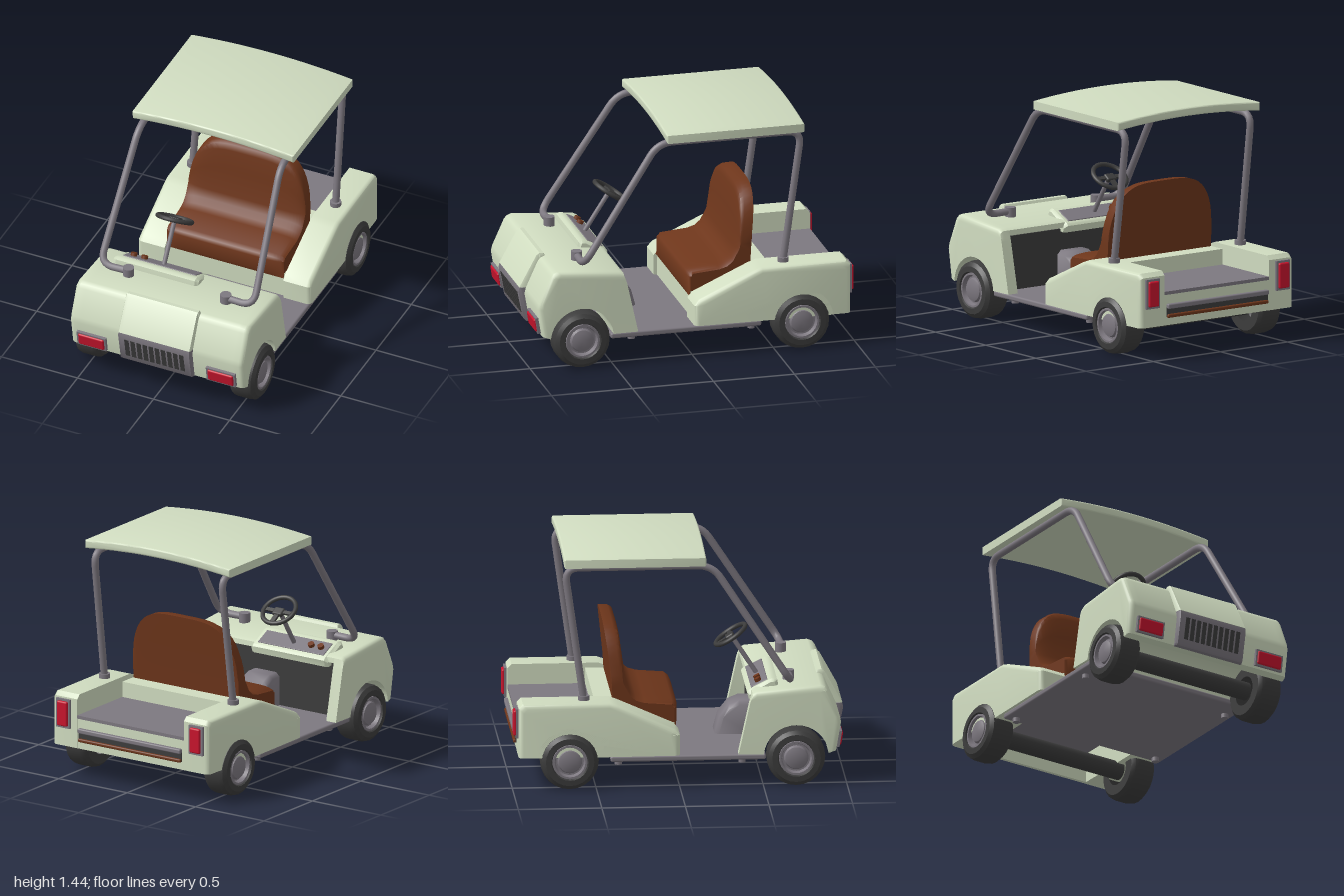
import * as THREE from 'three';
import { toCreasedNormals } from 'three/addons/utils/BufferGeometryUtils.js';
import { RoundedBoxGeometry } from 'three/addons/geometries/RoundedBoxGeometry.js';

const mat = (color) => new THREE.MeshStandardMaterial({ color, side: THREE.DoubleSide });
const GREEN = mat(0xd0dcc0), GREY = mat(0x7d7880), DARK = mat(0x3c3c3c);
const BROWN = mat(0x6e361b), RED = mat(0xc8142d);
const V = (x, y, z) => new THREE.Vector3(x, y, z);

function add(parent, name, geometry, material, x = 0, y = 0, z = 0, rx = 0) {
  const m = new THREE.Mesh(geometry, material);
  m.name = name;
  m.position.set(x, y, z);
  m.rotation.x = rx;
  parent.add(m);
  return m;
}
const box = (w, h, d) => new THREE.BoxGeometry(w, h, d);
const rbox = (w, h, d, r) => new RoundedBoxGeometry(w, h, d, 2, r);
const cyl = (r, h, n = 20) => new THREE.CylinderGeometry(r, r, h, n);

// Skin across x: profile(x) gives [z, y] points, the same number at every x
function loft(profile, xs, crease = 0.6) {
  const rows = xs.map((x) => profile(x).map(([z, y]) => new THREE.Vector2(z, y)));
  if (THREE.ShapeUtils.area(rows[0]) < 0) rows.forEach((r) => r.reverse());
  const n = rows[0].length, pos = [], idx = [];
  rows.forEach((r, k) => r.forEach((p) => pos.push(xs[k], p.y, p.x)));
  for (let k = 0; k < xs.length - 1; k++) {
    for (let i = 0; i < n; i++) {
      const a = k * n + i, b = k * n + (i + 1) % n;
      idx.push(a, a + n, b, b, a + n, b + n);
    }
  }
  const last = (xs.length - 1) * n;
  THREE.ShapeUtils.triangulateShape(rows[0], []).forEach(([a, b, c]) => idx.push(a, b, c));
  THREE.ShapeUtils.triangulateShape(rows[xs.length - 1], []).forEach(([a, b, c]) => idx.push(last + a, last + c, last + b));
  const g = new THREE.BufferGeometry();
  g.setAttribute('position', new THREE.Float32BufferAttribute(pos, 3));
  g.setIndex(idx);
  return toCreasedNormals(g, crease);
}

// Wheel arch points around an axle at z = c
function arch(c, from, to) {
  return Array.from({ length: 17 }, (_, i) => {
    const a = THREE.MathUtils.lerp(from, to, i / 16);
    return [c + 0.195 * Math.cos(a), 0.18 + 0.195 * Math.sin(a)];
  });
}
// Rounding of the outer edges near the body sides
function inset(x) {
  const t = Math.max(0, (Math.abs(x) - 0.54) / 0.03);
  return 0.03 * (1 - Math.sqrt(Math.max(0, 1 - t * t)));
}
const EDGE = [0.54, 0.551, 0.561, 0.567, 0.57];
const mirrored = (xs) => [...xs.map((x) => -x).reverse(), ...xs];

function frontProfile(x) {
  const d = inset(x), recess = Math.abs(x) < 0.5;
  return [
    [0.935 - d, 0.21], [0.965 - d, 0.385], [0.957 - d, 0.42], [0.885 - d, 0.58], [0.868 - d, 0.603 - d],
    [0.84 - d, 0.613 - d], [0.46, 0.583 - d], [0.435, 0.57 - d],
    recess ? [0.43, 0.54] : [0.424, 0.53], recess ? [0.47, 0.53] : [0.418, 0.51], [recess ? 0.47 : 0.35, 0.2],
    ...arch(0.695, Math.PI * 0.97, Math.PI * 0.03),
  ];
}
function rearProfile(x) {
  const d = inset(x);
  return [
    [-d, 0.2], [-d, 0.325], [-0.03 - d, 0.36 - d], [-0.37, 0.512 - d], [-0.42, 0.53 - d],
    [-0.94 + d, 0.53 - d], [-0.965 + d, 0.505 - d], [-0.965 + d, 0.2],
    ...arch(-0.66, Math.PI * 0.97, Math.PI * 0.03).reverse(),
  ];
}
// Bench seat, its back rounded off towards the sides
function seatProfile(x) {
  const s = Math.abs(x) / 0.385;
  const f = Math.max(0.08, Math.sqrt(Math.max(0, 1 - s ** 4))), drop = 0.02 * s ** 10;
  return [
    [-0.01, 0.335], [0 - drop, 0.36], [0 - drop, 0.45], [-0.01 - drop, 0.472 - drop], [-0.035, 0.487 - drop],
    [-0.2, 0.5 - drop], [-0.25, 0.515 - drop], [-0.285, 0.545 - drop], [-0.305 - drop, 0.6],
    [-0.33 - drop, 0.77], [-0.348 - drop, 0.9], [-0.36 - drop, 0.938], [-0.385, 0.953], [-0.44, 0.955],
    [-0.42, 0.78], [-0.395, 0.58], [-0.38, 0.335],
  ].map(([z, y]) => {
    const ny = y > 0.6 ? 0.6 + (y - 0.6) * f : y;
    return [z + (y - ny) * 0.14, ny];
  });
}

// Tube along a polyline with rounded corners
function bentTube(pts, r, bend) {
  const path = new THREE.CurvePath();
  let from = pts[0];
  for (let i = 1; i < pts.length - 1; i++) {
    const a = pts[i].clone().add(pts[i - 1].clone().sub(pts[i]).setLength(bend));
    const b = pts[i].clone().add(pts[i + 1].clone().sub(pts[i]).setLength(bend));
    path.add(new THREE.LineCurve3(from, a));
    path.add(new THREE.QuadraticBezierCurve3(a, pts[i], b));
    from = b;
  }
  path.add(new THREE.LineCurve3(from, pts[pts.length - 1]));
  return new THREE.TubeGeometry(path, 120, r, 12);
}
const lathe = (pts) => toCreasedNormals(new THREE.LatheGeometry(pts.map(([r, h]) => new THREE.Vector2(r, h)), 24), 0.6);

export function createModel() {
  const g = new THREE.Group();
  g.name = 'golfCart';

  // Body shells
  add(g, 'frontBody', loft(frontProfile, mirrored([0.499, 0.5, ...EDGE])), GREEN);
  const rearXs = [0.39, ...EDGE];
  add(g, 'rearSideLeft', loft(rearProfile, rearXs), GREEN);
  add(g, 'rearSideRight', loft(rearProfile, rearXs.map((x) => -x).reverse()), GREEN);
  add(g, 'seatBase', box(0.78, 0.16, 0.38), GREEN, 0, 0.28, -0.21);
  add(g, 'bedFrontWall', box(0.78, 0.24, 0.12), GREEN, 0, 0.38, -0.44);
  add(g, 'bedFloor', box(0.78, 0.02, 0.465), GREY, 0, 0.395, -0.7325);
  add(g, 'rearPanel', box(0.78, 0.185, 0.02), GREEN, 0, 0.2925, -0.954);

  // Floor, firewall and hump
  add(g, 'floor', rbox(1.12, 0.035, 0.93, 0.012), GREY, 0, 0.181, 0.05);
  add(g, 'firewall', box(0.99, 0.33, 0.01), DARK, 0, 0.363, 0.466);
  add(g, 'footwellHump', loft((x) => {
    const d = 0.025 * (Math.abs(x - 0.02) > 0.09 ? 1 : 0);
    return [[0.47, 0.19], [0.47, 0.4 - d], [0.39, 0.4 - d], [0.33, 0.375 - d], [0.27 + d, 0.3], [0.24 + d, 0.19]];
  }, [-0.08, -0.055, 0.095, 0.12], 1), GREY);

  // Seat
  const seatXs = Array.from({ length: 31 }, (_, i) => 0.385 * Math.sin((i / 30 - 0.5) * Math.PI));
  add(g, 'seat', loft(seatProfile, seatXs, 0.8), BROWN);

  // Raised front panel with slotted grille
  const panelXs = mirrored([0.215, 0.232, 0.24]);
  const pin = (x) => (Math.abs(x) > 0.235 ? 0.015 : 0);
  add(g, 'frontPanel', loft((x) => {
    const d = pin(x);
    return [[0.83, 0.6], [0.845, 0.628 - d], [0.87, 0.63 - d], [0.89 - d, 0.615 - d], [0.995 - d, 0.422], [0.93, 0.422]];
  }, panelXs), GREEN);
  add(g, 'grille', loft((x) => {
    const d = pin(x);
    return [[0.93, 0.421], [0.994 - d, 0.421], [1 - d, 0.395], [0.965 - d, 0.22], [0.955 - d, 0.208], [0.9, 0.208]];
  }, panelXs), GREY);
  for (let i = 0; i < 10; i++) {
    add(g, 'grilleSlot', box(0.028, 0.135, 0.008), DARK, (i - 4.5) * 0.04, 0.317, 0.983, 0.197);
  }

  // Dashboard tray with knobs
  add(g, 'dashboard', loft((x) => {
    const d = Math.abs(x + 0.18) > 0.27 ? 0.015 : 0;
    return [[0.6 - d, 0.57], [0.59 - d, 0.625 - d], [0.57, 0.632 - d], [0.55, 0.63 - d], [0.42 + d, 0.565 - d], [0.41 + d, 0.55 - d], [0.42 + d, 0.51], [0.6 - d, 0.53]];
  }, [-0.46, -0.44, 0.08, 0.1]), GREEN);
  const dash = new THREE.Group();
  dash.name = 'dashPanel';
  dash.position.set(-0.18, 0.597, 0.484);
  dash.rotation.x = -0.4636;
  add(dash, 'dashPlate', rbox(0.48, 0.01, 0.11, 0.004), GREY);
  for (const x of [-0.19, -0.12]) add(dash, 'knob', cyl(0.02, 0.025, 12), BROWN, x, 0.012, 0);
  g.add(dash);

  // Steering wheel and column
  const steer = new THREE.Group();
  steer.name = 'steering';
  steer.position.set(-0.17, 0.837, 0.33);
  steer.rotation.x = -2.147;
  add(steer, 'steeringRim', new THREE.TorusGeometry(0.105, 0.014, 10, 32), DARK);
  add(steer, 'steeringSpokes', box(0.2, 0.025, 0.014), DARK, 0, 0.005, -0.005);
  add(steer, 'steeringSpoke', box(0.03, 0.1, 0.014), DARK, 0, 0.05, -0.005);
  add(steer, 'steeringHub', rbox(0.07, 0.055, 0.03, 0.01), DARK, 0, 0.008, -0.005);
  add(steer, 'steeringColumn', cyl(0.014, 0.3), GREY, 0, 0, -0.16, Math.PI / 2);
  g.add(steer);

  // Curved roof
  const roof = new THREE.Shape();
  roof.moveTo(-0.52, 1.365);
  roof.quadraticCurveTo(0, 1.425, 0.52, 1.365);
  roof.lineTo(0.52, 1.397);
  roof.quadraticCurveTo(0, 1.457, -0.52, 1.397);
  const roofGeo = new THREE.ExtrudeGeometry(roof, { depth: 0.83, bevelSize: 0.01, bevelThickness: 0.01, bevelSegments: 3, curveSegments: 20 });
  add(g, 'roof', toCreasedNormals(roofGeo, 0.6), GREEN, 0, 0, -0.68);

  // Parts repeated on both sides
  const tyre = lathe([[0.09, 0], [0.15, 0], [0.17, 0.02], [0.175, 0.045], [0.175, 0.12], [0.168, 0.148], [0.145, 0.166], [0.112, 0.168], [0.104, 0.15]]);
  const rim = lathe([[0.106, 0.15], [0.104, 0.162], [0.092, 0.162], [0.084, 0.135], [0.074, 0.135], [0.066, 0.153], [0.045, 0.16], [0, 0.162]]);
  for (const s of [1, -1]) {
    add(g, 'roofFrame', bentTube([
      V(s * 0.32, 0.63, 0.665), V(s * 0.505, 0.625, 0.67), V(s * 0.465, 1.343, 0.2),
      V(s * 0.465, 1.343, -0.685), V(s * 0.47, 0.53, -0.57)], 0.022, 0.09), GREY);
    add(g, 'frontPoleSocket', cyl(0.034, 0.07), GREY, s * 0.32, 0.62, 0.665);
    add(g, 'rearPoleSocket', cyl(0.034, 0.03), GREY, s * 0.47, 0.543, -0.57);
    add(g, 'headlightFrame', box(0.19, 0.1, 0.05), GREY, s * 0.425, 0.275, 0.94, 0.157);
    add(g, 'headlight', rbox(0.168, 0.08, 0.05, 0.01), RED, s * 0.425, 0.274, 0.95, 0.157);
    add(g, 'tailLightFrame', box(0.1, 0.18, 0.03), GREY, s * 0.485, 0.405, -0.965);
    add(g, 'tailLight', rbox(0.075, 0.155, 0.04, 0.01), RED, s * 0.485, 0.405, -0.975);
    for (const z of [0.375, -0.365]) add(g, 'floorBolt', cyl(0.022, 0.03, 12), GREY, s * 0.5, 0.153, z);
    for (const z of [0.695, -0.66]) {
      const wheel = new THREE.Group();
      wheel.name = 'wheel';
      wheel.position.set(s * 0.425, 0.175, z);
      wheel.rotation.z = -s * Math.PI / 2;
      add(wheel, 'tyre', tyre, DARK);
      add(wheel, 'rim', rim, GREY);
      g.add(wheel);
    }
  }
  for (const z of [0.695, -0.66]) add(g, 'axle', cyl(0.055, 0.88), DARK, 0, 0.175, z).rotation.z = Math.PI / 2;

  // Rear bumper strips
  add(g, 'bumperStrip', rbox(0.75, 0.03, 0.03, 0.008), GREY, 0, 0.315, -0.972);
  add(g, 'bumperBack', box(0.75, 0.06, 0.01), DARK, 0, 0.28, -0.966);
  add(g, 'bumperTrim', rbox(0.75, 0.022, 0.026, 0.008), BROWN, 0, 0.257, -0.972);
  return g;
}
